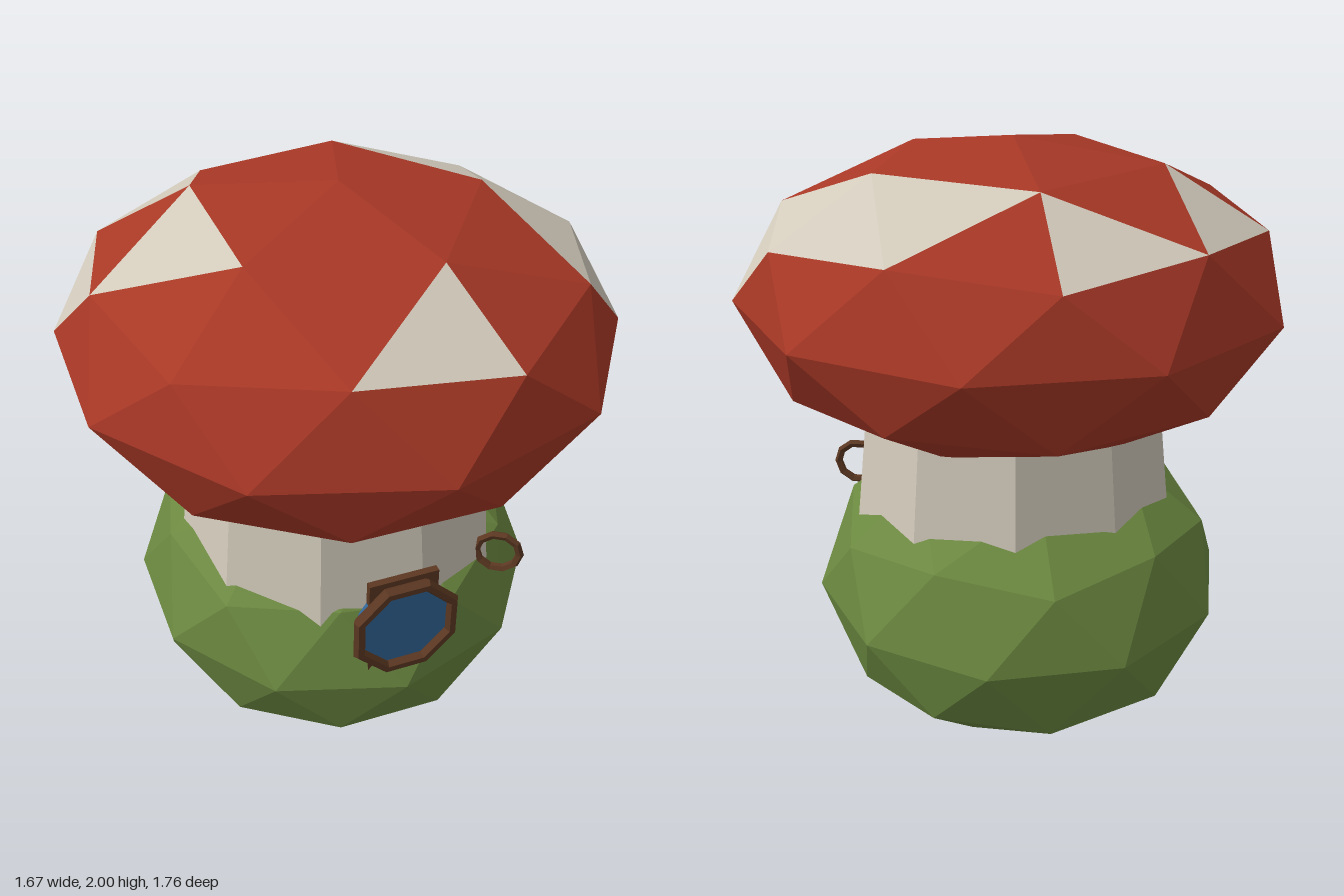
import * as THREE from 'three';

const mat = (name, color) => Object.assign(new THREE.MeshStandardMaterial({ color, flatShading: true }), { name });

export function createModel() {
  const red = mat('cap red', 0xa83826);
  const cream = mat('stem cream', 0xd2cabb);
  const green = mat('moss green', 0x6b8840);
  const brown = mat('wood brown', 0x5c3822);
  const blue = mat('glass blue', 0x316598);

  const group = new THREE.Group();
  const rad = THREE.MathUtils.degToRad;

  // Facets stay sharp: split the faces and use face normals
  function add(name, geometry, material, x = 0, y = 0, z = 0, yaw = 0) {
    const geo = geometry.index ? geometry.toNonIndexed() : geometry;
    geo.computeVertexNormals();
    const mesh = new THREE.Mesh(geo, material);
    mesh.name = name;
    mesh.position.set(x, y, z);
    mesh.rotation.y = rad(yaw);
    group.add(mesh);
    return mesh;
  }

  // Squashed 80-sided ball standing on one of its corners
  function ball(radius, halfHeight) {
    return new THREE.IcosahedronGeometry(1, 1)
      .rotateZ(Math.atan(2 / (1 + Math.sqrt(5))))
      .rotateY(Math.PI)
      .scale(radius, halfHeight, radius);
  }

  // Mossy base and ten-sided stem
  add('mossBase', ball(0.687, 0.52), green, 0, 0.52, -0.055);
  add('stem', new THREE.CylinderGeometry(0.48, 0.558, 0.68, 10, 1, false, rad(9.5)), cream, 0, 0.96, 0);

  // Cap: facets whose centre lies on a spot are cream
  const spots = [
    [0.05, 0.63], [0.40, -0.29], [0.62, -0.15], [0.62, 0.15], [0.74, 0.24],
    [0.05, -0.63], [-0.41, -0.48], [-0.74, -0.245], [-0.5, 0],
  ];
  const capGeo = ball(0.88, 0.48);
  const p = capGeo.attributes.position;
  capGeo.clearGroups();
  for (let i = 0; i < p.count; i += 3) {
    const cx = (p.getX(i) + p.getX(i + 1) + p.getX(i + 2)) / 3;
    const cy = (p.getY(i) + p.getY(i + 1) + p.getY(i + 2)) / 3;
    const cz = (p.getZ(i) + p.getZ(i + 1) + p.getZ(i + 2)) / 3;
    const spotted = cy > 0 && spots.some(([x, z]) => Math.hypot(cx - x, cz - z) < 0.04);
    capGeo.addGroup(i, 3, spotted ? 1 : 0);
  }
  add('cap', capGeo, [red, cream], 0, 1.52, 0);

  // Round window: backing board, pane and wooden frame
  add('windowBoard', new THREE.BoxGeometry(0.23, 0.38, 0.024), brown, 0, 0.755, 0.565);
  add('windowPane', new THREE.CylinderGeometry(0.152, 0.152, 0.04, 16).rotateX(Math.PI / 2), blue, 0, 0.765, 0.572);
  add('windowFrame', new THREE.TorusGeometry(0.168, 0.021, 6, 8).rotateZ(Math.PI / 8), brown, 0, 0.765, 0.6);

  // Small rings hung on the stem
  add('handleRing', new THREE.TorusGeometry(0.072, 0.014, 5, 10), brown, 0.4, 0.81, 0.43, -33);
  add('hangingRing', new THREE.TorusGeometry(0.072, 0.014, 5, 10), red, 0.27, 1.165, 0.475, 8);

  return group;
}
